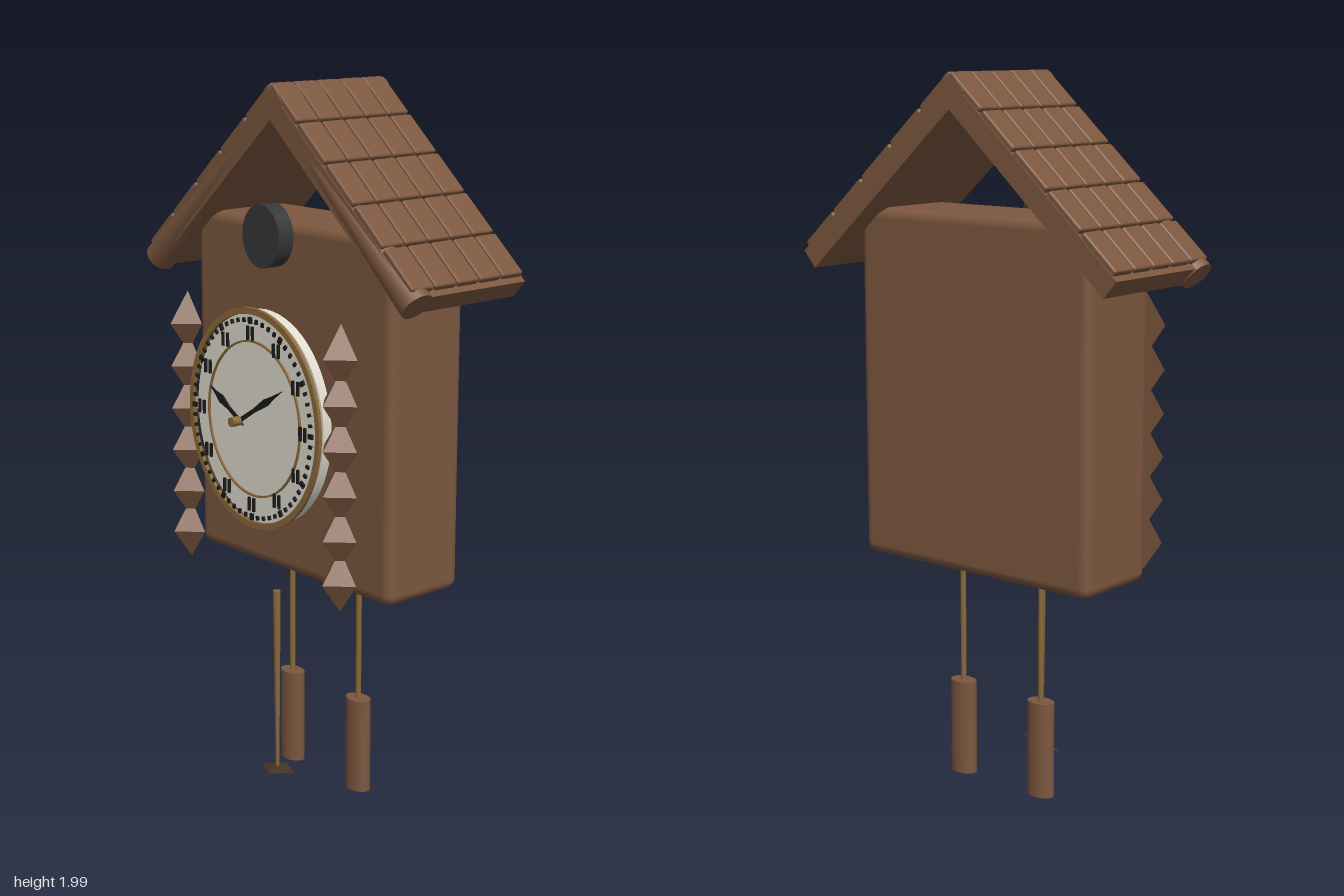
import * as THREE from 'three';
import { RoundedBoxGeometry } from 'three/addons/geometries/RoundedBoxGeometry.js';

const material = (name, color) => new THREE.MeshStandardMaterial({ name, color });

export function createModel() {
  const wood = material('brown wood', 0x7c573f);
  const gold = material('old gold', 0x8a6a3a);
  const cream = material('dial cream', 0xe0dccf);
  const charcoal = material('charcoal', 0x35383a);
  const black = material('black', 0x1a1a1a);
  const darkWood = material('dark leaf', 0x4a3626);

  const model = new THREE.Group();
  model.name = 'wallClock';
  const add = (parent, name, geometry, mat, x = 0, y = 0, z = 0) => {
    const mesh = new THREE.Mesh(geometry, mat);
    mesh.name = name;
    mesh.position.set(x, y, z);
    parent.add(mesh);
    return mesh;
  };
  const group = (name) => {
    const g = new THREE.Group();
    g.name = name;
    model.add(g);
    return g;
  };

  // Case
  add(model, 'case', new RoundedBoxGeometry(0.8, 0.985, 0.265, 4, 0.03), wood, 0, 1.132, -0.067);

  // Bird door: a dark round plug
  add(model, 'birdDoor', new THREE.CylinderGeometry(0.085, 0.085, 0.05, 32).rotateX(Math.PI / 2), charcoal, 0, 1.597, 0.14)
    .scale.x = 0.885;

  // Two roof slopes with tiles and a tapered round rafter in front
  const angle = 0.727, slope = 0.738;
  for (const s of [-1, 1]) {
    const roof = group(s > 0 ? 'leftRoof' : 'rightRoof');
    roof.position.set(0, 2, 0);
    roof.rotation.z = -s * angle;
    add(roof, 'roofBoard', new THREE.BoxGeometry(slope, 0.06, 0.405), wood, s * slope / 2, -0.046, -0.072);
    const tile = new RoundedBoxGeometry(0.138, 0.025, 0.076, 1, 0.006);
    for (let i = 0; i < 5; i++) {
      for (let j = 0; j < 5; j++) {
        add(roof, 'roofTile', tile, wood, s * (0.075 + i * 0.144), -0.0125, -0.234 + j * 0.081);
      }
    }
    add(roof, 'rafter', new THREE.CylinderGeometry(0.045, 0.026, 0.7, 16).rotateZ(-s * Math.PI / 2),
      wood, s * 0.391, -0.045, 0.1);
  }

  // Columns of four-sided studs beside the dial
  const stud = new THREE.ConeGeometry(1, 1, 4, 1).toNonIndexed();
  stud.rotateX(Math.PI / 2).scale(0.0625, 0.086, 0.062);
  stud.computeVertexNormals();
  for (const s of [-1, 1]) {
    for (let i = 0; i < 6; i++) {
      add(model, 'stud', stud, wood, s * 0.317, 1.324 - i * 0.1206, 0.196);
    }
  }

  // Dial, slightly narrower than tall
  const dial = group('dial');
  dial.position.y = 1.105;
  dial.scale.x = 0.89;
  const disc = (r, depth) => new THREE.CylinderGeometry(r, r, depth, 64).rotateX(Math.PI / 2);
  const ring = (outer, inner, depth) => {
    const shape = new THREE.Shape().absarc(0, 0, outer, 0, Math.PI * 2);
    shape.holes.push(new THREE.Path().absarc(0, 0, inner, 0, Math.PI * 2, true));
    return new THREE.ExtrudeGeometry(shape, { depth, bevelEnabled: false, curveSegments: 48 });
  };
  add(dial, 'dialPlate', disc(0.295, 0.028), cream, 0, 0, 0.161);
  add(dial, 'dialRim', ring(0.305, 0.287, 0.01), gold, 0, 0, 0.189);
  add(dial, 'innerRing', ring(0.216, 0.211, 0.006), gold, 0, 0, 0.191);

  // Minute ticks and upright hour strokes
  for (let i = 0; i < 60; i++) {
    const a = i * Math.PI / 30;
    const big = i % 5 === 0;
    add(dial, 'minuteTick', new THREE.BoxGeometry(big ? 0.013 : 0.009, big ? 0.018 : 0.012, 0.006), black,
      Math.sin(a) * 0.272, Math.cos(a) * 0.272, 0.203).rotation.z = -a;
    if (!big) continue;
    for (const dx of [-0.011, 0.011]) {
      add(dial, 'hourStroke', new THREE.BoxGeometry(0.008, 0.038, 0.006), black,
        Math.sin(a) * 0.237 + dx, Math.cos(a) * 0.237, 0.203);
    }
  }

  // Leaf-shaped hands and the centre pin
  const hand = (name, x, y, width) => {
    const length = Math.hypot(x, y);
    const shape = new THREE.Shape([[0, -0.02], [0.006, 0], [0.005, 0.35 * length], [width, 0.62 * length],
      [0.004, 0.8 * length], [0, length], [-0.004, 0.8 * length], [-width, 0.62 * length],
      [-0.005, 0.35 * length], [-0.006, 0]].map(([px, py]) => new THREE.Vector2(px, py)));
    add(model, name, new THREE.ExtrudeGeometry(shape, { depth: 0.005, bevelEnabled: false }), black, 0, 1.11, 0.24)
      .rotation.z = Math.atan2(-x, y);
  };
  hand('hourHand', -0.122, 0.075, 0.012);
  hand('minuteHand', 0.175, 0.11, 0.01);
  add(model, 'centrePin', disc(0.013, 0.028), gold, 0, 1.11, 0.258);

  // Hanging weights, flattened front to back
  for (const s of [-1, 1]) {
    add(model, 'weightChain', new THREE.CylinderGeometry(0.008, 0.008, 0.4, 8), gold, s * 0.142, 0.46, -0.067);
    add(model, 'weight', new THREE.CylinderGeometry(0.042, 0.042, 0.275, 24), wood, s * 0.142, 0.1375, -0.067)
      .scale.z = 0.68;
  }

  // Pendulum with a thin leaf bob
  add(model, 'pendulumRod', new THREE.CylinderGeometry(0.011, 0.005, 0.54, 8), gold, 0, 0.33, 0.114);
  const bob = add(model, 'pendulumLeaf', new THREE.OctahedronGeometry(1), darkWood, 0, 0.063, 0.113);
  bob.scale.set(0.075, 0.01, 0.033);
  bob.rotation.set(0.25, 0, 0.16);

  return model;
}
